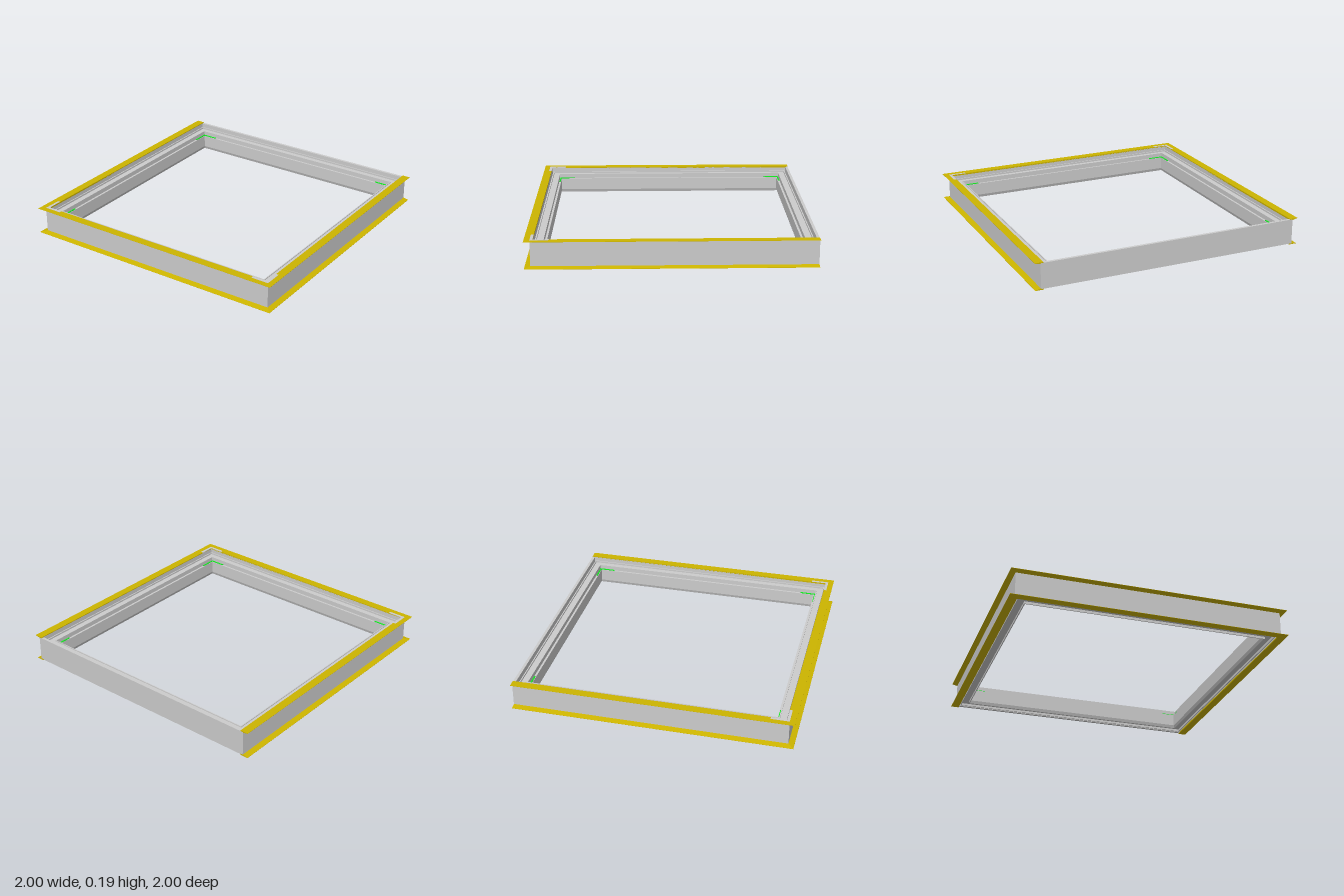
import * as THREE from 'three';

const HALF = 0.96, BACK = -1, HEIGHT = 0.195;
const material = (color) => new THREE.MeshStandardMaterial({ color, flatShading: true });

// Sweeps a closed profile of [inset, y] points with mitred corners.
// closed: all four sides; open: right, front and left sides, cut flat at the back.
function sweep(name, profile, closed, mat) {
  const section = (corner) => profile.map(([d, y]) => {
    const sx = corner === 0 || corner === 1 ? 1 : -1;
    const front = corner === 1 || corner === 2;
    return [sx * (HALF - d), y, front ? HALF - d : BACK + (closed ? d : 0)];
  });
  const sections = [0, 1, 2, 3].map(section);
  const pos = [], n = profile.length;
  const tri = (a, b, c) => pos.push(...a, ...b, ...c);
  for (let s = 0; s < (closed ? 4 : 3); s++) {
    const p = sections[s], q = sections[(s + 1) % 4];
    for (let i = 0; i < n; i++) {
      const j = (i + 1) % n;
      tri(p[i], p[j], q[j]);
      tri(p[i], q[j], q[i]);
    }
  }
  if (!closed) {
    for (let i = 1; i < n - 1; i++) {
      tri(sections[0][0], sections[0][i + 1], sections[0][i]);
      tri(sections[3][0], sections[3][i], sections[3][i + 1]);
    }
  }
  const geo = new THREE.BufferGeometry();
  geo.setAttribute('position', new THREE.Float32BufferAttribute(pos, 3));
  geo.computeVertexNormals();
  const mesh = new THREE.Mesh(geo, mat);
  mesh.name = name;
  return mesh;
}

// Flat L of two bars; the outer corner sits at (x, z) and the arms run along -sx and -sz.
function cornerBracket(name, x, z, sx, sz, y, length, width, thick, mat) {
  const group = new THREE.Group();
  group.name = name;
  const arm = (w, d) => {
    const mesh = new THREE.Mesh(new THREE.BoxGeometry(w, thick, d), mat);
    mesh.position.set(x - sx * w / 2, y, z - sz * d / 2);
    mesh.name = name + 'Arm';
    group.add(mesh);
  };
  arm(length, width);
  arm(width, length);
  return group;
}

export function createModel() {
  const model = new THREE.Group();
  model.name = 'windowFrame';
  const grey = material(0xcccccc), yellow = material(0xccb400), green = material(0x10ee20);

  // Main frame: tall outer wall, grooved ledge, lower inner lip and grooved underside
  const frameProfile = [
    [0, 0.006], [0, 0.189], [0.02, 0.189], [0.02, 0.14], [0.028, 0.14], [0.028, 0.162],
    [0.036, 0.162], [0.036, 0.15], [0.078, 0.15], [0.078, 0.156], [0.085, 0.156],
    [0.085, 0.122], [0.1, 0.122], [0.1, 0.03], [0.092, 0.008], [0.085, 0.008],
    [0.085, 0.025], [0.036, 0.025], [0.036, 0.008], [0.028, 0.008], [0.028, 0.03],
    [0.02, 0.03], [0.02, 0.006],
  ];
  model.add(sweep('frame', frameProfile, true, grey));

  // Tapered flanges on three sides, top and bottom
  const flange = [[-0.04, 0.193], [-0.04, 0.1945], [0.02, 0.1945], [0.02, 0.184], [0, 0.184]];
  const lower = flange.map(([d, y]) => [d, HEIGHT - 0.0005 - y]).reverse();
  model.add(sweep('topFlange', flange, false, yellow));
  model.add(sweep('bottomFlange', lower, false, yellow));

  // Brackets on the front corners of the top flange
  for (const sx of [-1, 1]) {
    model.add(cornerBracket('topBracket', sx * HALF, HALF, sx, 1, 0.1925, 0.13, 0.02, 0.005, grey));
  }

  // Thin green corner pieces on the inner lip
  for (const sx of [-1, 1]) for (const sz of [-1, 1]) {
    const z = sz > 0 ? HALF - 0.087 : BACK + 0.087;
    model.add(cornerBracket('lipCorner', sx * (HALF - 0.087), z, sx, sz, 0.124, 0.12, 0.009, 0.006, green));
  }
  return model;
}
